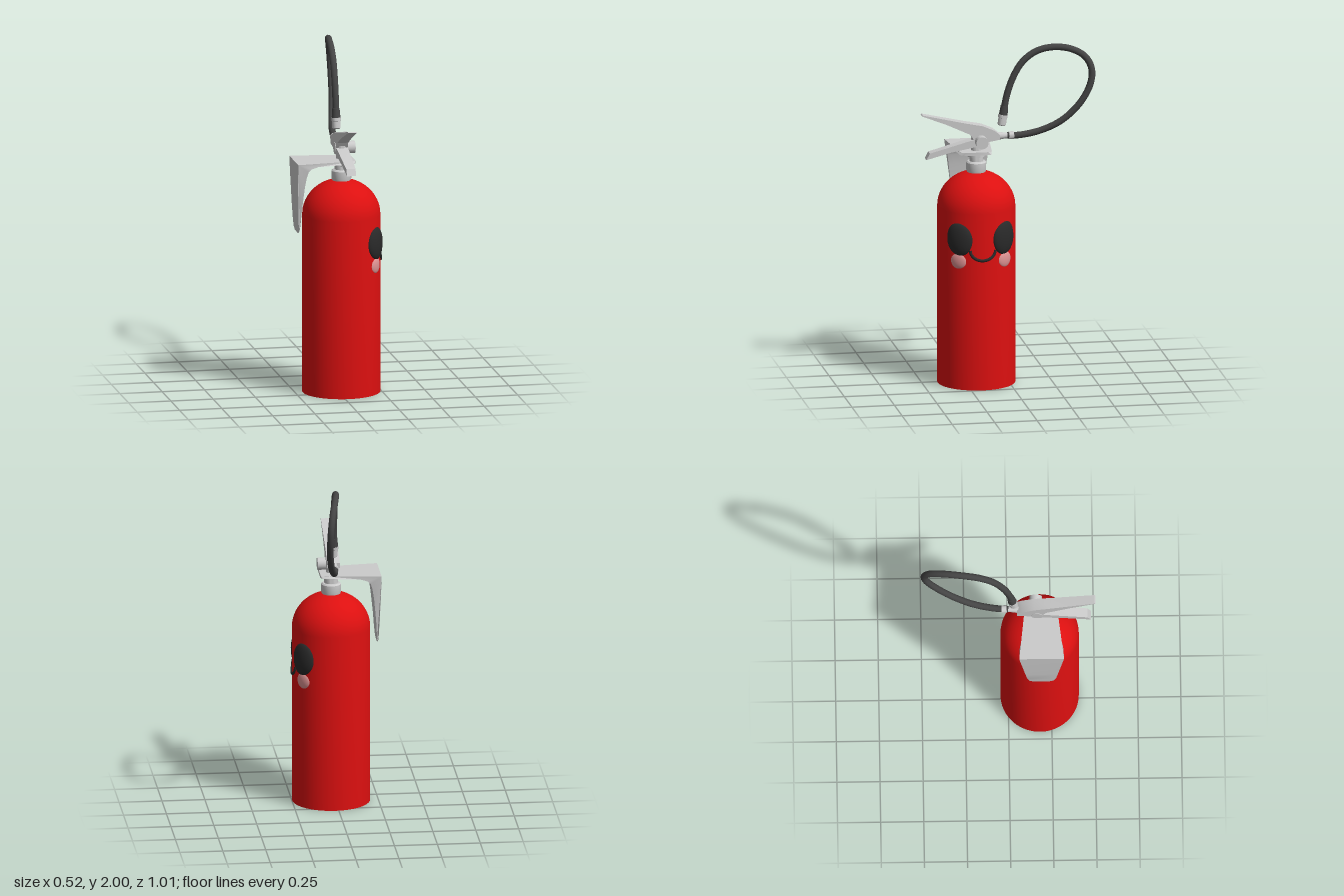
import * as THREE from 'three';
import { toCreasedNormals } from 'three/addons/utils/BufferGeometryUtils.js';

const CX = 0.022, CZ = 0.182, R = 0.227; // axis and radius of the tank
const mat = (color) => new THREE.MeshStandardMaterial({ color });

export function createModel() {
  const root = new THREE.Group();
  const red = mat(0xdd1010), metal = mat(0xcccccc), rubber = mat(0x444444);
  const black = mat(0x2a2a2a), pink = mat(0xe09494);

  const add = (name, geo, material, x = 0, y = 0, z = 0) => {
    const m = new THREE.Mesh(geo, material);
    m.name = name;
    m.position.set(x, y, z);
    root.add(m);
    return m;
  };
  const lathe = (pts, seg = 32) => toCreasedNormals(
    new THREE.LatheGeometry(pts.map(([r, y]) => new THREE.Vector2(r, y)), seg), 0.6);
  const reshape = (geo, rule) => {
    const p = geo.attributes.position, v = new THREE.Vector3();
    for (let i = 0; i < p.count; i++) {
      rule(v.fromBufferAttribute(p, i));
      p.setXYZ(i, v.x, v.y, v.z);
    }
    geo.computeVertexNormals();
    return geo;
  };

  // Tank with domed shoulder
  const tank = [[0, 0], [R, 0]];
  for (let i = 0; i <= 12; i++) {
    const a = (i / 12) * Math.PI / 2;
    tank.push([Math.max(0, R * Math.cos(a)), 1.05 + 0.21 * Math.sin(a)]);
  }
  add('tank', lathe(tank, 48), red, CX, 0, CZ);

  // Valve: collar, neck and stem
  add('valve', lathe([[0, 1.24], [0.05, 1.24], [0.058, 1.265], [0.058, 1.31], [0.05, 1.318],
    [0.04, 1.318], [0.04, 1.342], [0.05, 1.345], [0.05, 1.36], [0.03, 1.36], [0.03, 1.46], [0, 1.46]]),
  metal, CX, 0, CZ);

  // Pivot block and gauge
  const across = (r, len) => new THREE.CylinderGeometry(r, r, len, 24).rotateZ(Math.PI / 2);
  add('pivot', across(0.034, 0.075), metal, CX, 1.44, 0.165);
  add('gauge', across(0.036, 0.06), metal, 0.075, 1.44, 0.16);

  // Levers: side outlines (z, y), narrowing towards the grip
  const lever = (name, pts) => {
    const geo = new THREE.ExtrudeGeometry(
      new THREE.Shape(pts.map(([z, y]) => new THREE.Vector2(z, y))),
      { depth: 1, bevelEnabled: false });
    geo.rotateY(-Math.PI / 2).translate(0.5, 0, 0);
    reshape(geo, (v) => { v.x *= 0.075 - 0.022 * THREE.MathUtils.clamp((v.z - 0.07) / 0.43, 0, 1); });
    add(name, toCreasedNormals(geo, 0.5), metal, CX);
  };
  lever('upperLever', [[0.505, 1.602], [0.36, 1.545], [0.22, 1.48], [0.19, 1.43], [0.14, 1.43],
    [0.05, 1.445], [0.05, 1.475], [0.08, 1.5], [0.15, 1.53], [0.25, 1.55], [0.5, 1.607]]);
  lever('lowerLever', [[0.48, 1.34], [0.34, 1.378], [0.2, 1.405], [0.15, 1.41],
    [0.15, 1.45], [0.22, 1.445], [0.46, 1.378]]);

  // Wall bracket: bent plate with a filleted inside corner
  const profile = [[0.09, 1.382], [0.082, 1.382], [0.07, 1.382], [0, 1.382], [-0.26, 1.382], [-0.259, 1.3],
    [-0.253, 1.1], [-0.249, 1.02], [-0.247, 0.98], [-0.245, 0.96], [-0.242, 0.96], [-0.24, 0.98],
    [-0.237, 1.02], [-0.232, 1.1], [-0.218, 1.24], [-0.208, 1.3], [-0.198, 1.335], [-0.18, 1.352],
    [-0.14, 1.362], [0, 1.364], [0.07, 1.364], [0.082, 1.364], [0.09, 1.364]];
  const halfWidth = (x, y) => {
    if (y > 1.355) {
      const w = 0.13 - 0.115 * (x + 0.26);
      return x > 0.085 ? w - 0.022 : x > 0.075 ? w - 0.007 : w;
    }
    const w = 0.075 + 0.13 * (y - 0.96);
    return y < 0.97 ? w - 0.03 : y < 1 ? w - 0.008 : w;
  };
  const bracket = new THREE.ExtrudeGeometry(
    new THREE.Shape(profile.map(([x, y]) => new THREE.Vector2(x, y))),
    { depth: 2, bevelEnabled: false }).translate(0, 0, -1);
  reshape(bracket, (v) => { v.z *= halfWidth(v.x, v.y); });
  add('wallBracket', toCreasedNormals(bracket, 0.6), metal, 0, 0, 0.19);

  // Looped hose with its end fittings
  const path = new THREE.CatmullRomCurve3([
    [0.022, 1.46, 0], [0.028, 1.462, -0.08], [0.044, 1.49, -0.2], [0.068, 1.55, -0.315],
    [0.088, 1.65, -0.415], [0.094, 1.76, -0.475], [0.09, 1.85, -0.486], [0.077, 1.925, -0.45],
    [0.058, 1.97, -0.37], [0.042, 1.982, -0.27], [0.034, 1.96, -0.17], [0.03, 1.9, -0.09],
    [0.027, 1.81, -0.035], [0.025, 1.7, 0.003], [0.024, 1.58, 0.025],
  ].map((p) => new THREE.Vector3(...p)));
  add('hose', new THREE.TubeGeometry(path, 90, 0.0195, 14), rubber);
  add('hoseSleeve', new THREE.CylinderGeometry(0.022, 0.026, 0.06, 20), rubber, 0.024, 1.61, 0.02)
    .rotation.x = -0.13;
  add('nozzle', lathe([[0, -0.035], [0.02, -0.035], [0.025, -0.03], [0.025, 0.01], [0.028, 0.012],
    [0.028, 0.03], [0, 0.03]], 20), metal, 0.024, 1.558, 0.028).rotation.x = -0.13;
  add('outlet', lathe([[0, -0.06], [0.026, -0.06], [0.017, 0], [0.017, 0.02], [0.023, 0.022],
    [0.023, 0.05], [0, 0.05]], 20), metal, CX, 1.46, 0.012).rotation.x = -Math.PI / 2;

  // Face: domed patches wrapped around the +x side of the tank
  const patch = (name, angle, y, halfAngle, halfHeight, bulge, material, egg = 0) => {
    const side = Math.sign(angle);
    const geo = reshape(new THREE.SphereGeometry(1, 28, 20), (v) => {
      const a = angle + (v.z + side * egg * v.y * Math.abs(v.y)) * halfAngle;
      const r = R - 0.004 + v.x * bulge;
      v.set(r * Math.cos(a), v.y * halfHeight, r * Math.sin(a));
    });
    add(name, geo, material, CX, y, CZ);
  };
  for (const [s, label] of [[1, 'front'], [-1, 'back']]) {
    patch(label + 'Eye', s * 0.64, 0.897, 0.37, 0.097, 0.028, black, 0.08);
    patch(label + 'Cheek', s * 0.66, 0.767, 0.23, 0.046, 0.014, pink);
  }
  const smile = [];
  for (let i = 0; i <= 12; i++) {
    const t = (i / 12) * Math.PI, a = 0.33 * Math.cos(t);
    smile.push(new THREE.Vector3(R * Math.cos(a), 0.835 - 0.06 * Math.sin(t), R * Math.sin(a)));
  }
  add('mouth', new THREE.TubeGeometry(new THREE.CatmullRomCurve3(smile), 32, 0.009, 8), black, CX, 0, CZ);

  return root;
}
